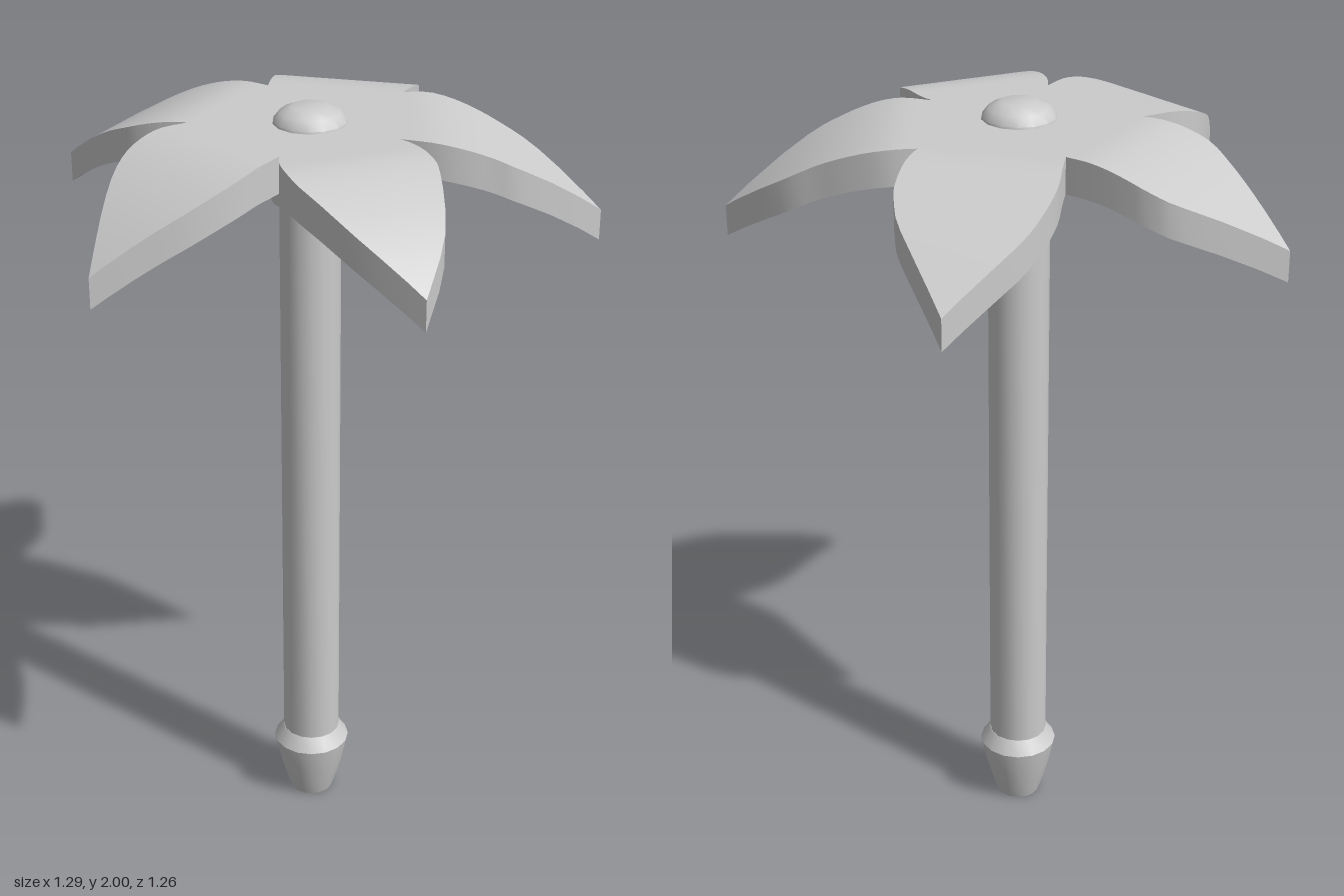
import * as THREE from 'three';
import { toCreasedNormals } from 'three/addons/utils/BufferGeometryUtils.js';

const HUB = new THREE.Vector2(-0.008, -0.04); // x, z of the pole axis
const TOP = 1.96, THICK = 0.09, FLAT = 0.27;

// Each petal: edge from its first notch to the tip, edge from its last notch to the tip [x, z], tip drop
const PETALS = [
  { name: 'frontPetal', drop: 0.19,
    a: [[0.14, 0.155], [0.155, 0.2], [0.162, 0.27], [0.155, 0.335], [0.09, 0.5], [-0.015, 0.628]],
    b: [[-0.165, 0.15], [-0.185, 0.2], [-0.19, 0.27], [-0.175, 0.34], [-0.115, 0.475], [-0.015, 0.628]] },
  { name: 'rightPetal', drop: 0.2,
    a: [[-0.165, 0.15], [-0.22, 0.185], [-0.3, 0.222], [-0.4, 0.235], [-0.5, 0.225], [-0.65, 0.2]],
    b: [[-0.28, -0.15], [-0.35, -0.142], [-0.41, -0.12], [-0.47, -0.08], [-0.54, 0.01], [-0.65, 0.2]] },
  { name: 'backRightPetal', drop: 0.2,
    a: [[-0.28, -0.15], [-0.34, -0.2], [-0.395, -0.27], [-0.412, -0.35], [-0.425, -0.44], [-0.445, -0.59]],
    b: [[0, -0.33], [-0.045, -0.4], [-0.09, -0.465], [-0.13, -0.51], [-0.2, -0.545], [-0.445, -0.59]] },
  { name: 'backLeftPetal', drop: 0.2,
    a: [[0, -0.33], [0.035, -0.39], [0.075, -0.455], [0.135, -0.515], [0.22, -0.567], [0.42, -0.63]],
    b: [[0.29, -0.15], [0.34, -0.2], [0.39, -0.27], [0.41, -0.32], [0.425, -0.4], [0.42, -0.63]] },
  { name: 'leftPetal', drop: 0.225,
    a: [[0.29, -0.15], [0.36, -0.125], [0.43, -0.07], [0.49, -0.01], [0.56, 0.065], [0.645, 0.24]],
    b: [[0.14, 0.155], [0.2, 0.205], [0.26, 0.235], [0.34, 0.255], [0.42, 0.268], [0.645, 0.24]] },
];

// A petal is a thick drooping strip running from the hub, across its notches, to the tip
function petalGeometry({ a, b, drop }) {
  const rows = 15, cols = 6;
  const sample = pts => [HUB, ...new THREE.SplineCurve(pts.map(p => new THREE.Vector2(...p))).getPoints(rows)];
  const A = sample(a), B = sample(b);
  const axis = A[rows + 1].clone().sub(HUB);
  const reach = axis.length();
  axis.normalize();

  // Point on row i, column j; the droop grows with distance along the petal
  const point = (i, j, under) => {
    const p = A[i].clone().lerp(B[i], j / cols);
    const t = Math.max(0, (p.clone().sub(HUB).dot(axis) - FLAT) / (reach - FLAT));
    const y = TOP - drop * Math.pow(t, 1.65) - (under ? THICK - 0.012 * t : 0);
    return new THREE.Vector3(p.x, y, p.y);
  };

  const positions = [];
  const tri = (p, q, r) => {
    const area = q.clone().sub(p).cross(r.clone().sub(p)).length();
    if (area > 1e-7) for (const v of [p, q, r]) positions.push(v.x, v.y, v.z);
  };
  const quad = (p, q, r, s) => { tri(p, q, r); tri(p, r, s); };

  for (let i = 0; i <= rows; i++) {
    for (let j = 0; j < cols; j++) {
      quad(point(i, j + 1), point(i + 1, j + 1), point(i + 1, j), point(i, j));
      quad(point(i, j, true), point(i + 1, j, true), point(i + 1, j + 1, true), point(i, j + 1, true));
    }
    if (i > 0) { // rim walls start at the notches
      quad(point(i, 0, true), point(i, 0), point(i + 1, 0), point(i + 1, 0, true));
      quad(point(i, cols), point(i, cols, true), point(i + 1, cols, true), point(i + 1, cols));
    }
  }
  const geometry = new THREE.BufferGeometry();
  geometry.setAttribute('position', new THREE.Float32BufferAttribute(positions, 3));
  return toCreasedNormals(geometry, Math.PI / 5);
}

export function createModel() {
  const group = new THREE.Group();
  const material = new THREE.MeshStandardMaterial({ color: 0xcccccc });
  const add = (name, geometry) => {
    const mesh = new THREE.Mesh(geometry, material);
    mesh.name = name;
    group.add(mesh);
    return mesh;
  };
  // Turned part around the pole axis, from [radius, y] pairs listed upwards
  const turned = (name, profile, sides) => {
    const lathe = new THREE.LatheGeometry(profile.map(p => new THREE.Vector2(...p)), sides);
    add(name, toCreasedNormals(lathe, Math.PI / 5)).position.set(HUB.x, 0, HUB.y);
  };

  turned('foot', [[0, 0], [0.058, 0], [0.068, 0.03], [0.088, 0.1], [0.102, 0.168], [0.077, 0.205], [0, 0.205]], 16);
  turned('pole', [[0.076, 0.19], [0.076, 1.8]], 16);
  turned('collar', [[0, 1.765], [0.096, 1.765], [0.096, 1.9]], 16);
  turned('topKnob', [[0.093, 1.94], [0.091, 1.965], [0.075, 1.986], [0.045, 2], [0, 2]], 14);

  // Flower-shaped canopy
  for (const petal of PETALS) add(petal.name, petalGeometry(petal));
  return group;
}
